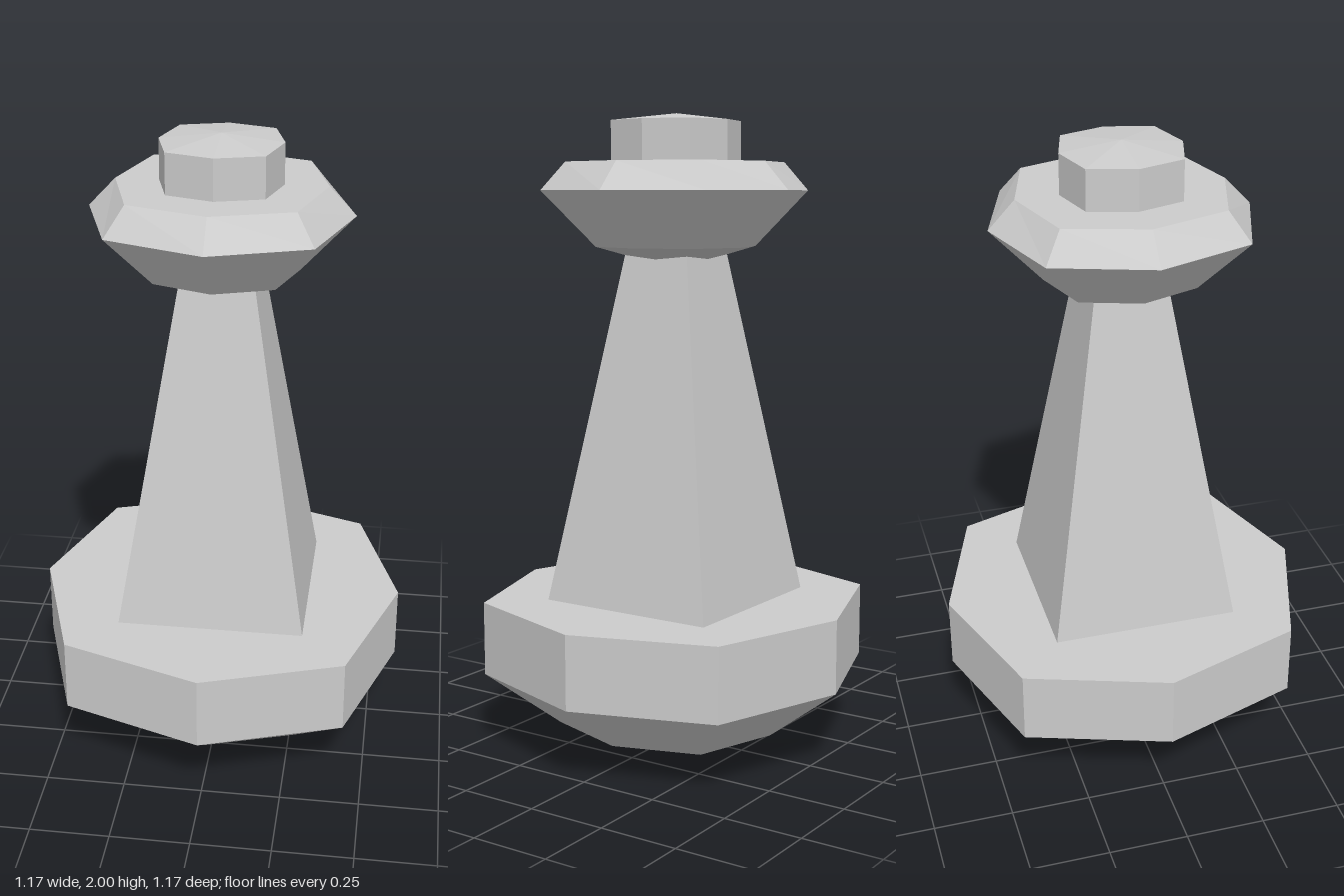
import * as THREE from 'three';

const material = new THREE.MeshStandardMaterial({ color: 0xcccccc, flatShading: true });

// Eight-sided solid from rings [reach along x/z axes, reach of corner in x and z, y], bottom to top
function octagonSolid(name, rings) {
  const geometry = new THREE.LatheGeometry(rings.map(([r, , y]) => new THREE.Vector2(r, y)), 8);
  const pos = geometry.attributes.position;
  for (let i = 0; i < pos.count; i++) {
    const [, corner] = rings[i % rings.length];
    const isDiagonal = Math.floor(i / rings.length) % 2 === 1;
    if (isDiagonal) {
      pos.setX(i, Math.sign(pos.getX(i)) * corner);
      pos.setZ(i, Math.sign(pos.getZ(i)) * corner);
    }
  }
  geometry.computeVertexNormals();
  const mesh = new THREE.Mesh(geometry, material);
  mesh.name = name;
  return mesh;
}

export function createModel() {
  const model = new THREE.Group();
  model.name = 'pedestal';

  // Heavy base: pointed underside, upright rim, flat top
  model.add(octagonSolid('base', [
    [0, 0, 0], [0.355, 0.268, 0.07], [0.585, 0.438, 0.245], [0.585, 0.438, 0.478], [0, 0, 0.478],
  ]));

  // Square tapering shaft, its ends sunk into base and collar
  const bottom = 0.45, top = 1.59;
  const shaftGeometry = new THREE.CylinderGeometry(0.111 * Math.SQRT2, 0.298 * Math.SQRT2, top - bottom, 4);
  shaftGeometry.rotateY(Math.PI / 4);
  const shaft = new THREE.Mesh(shaftGeometry, material);
  shaft.name = 'shaft';
  shaft.position.y = (bottom + top) / 2;
  model.add(shaft);

  // Flared collar with bevelled upper edge
  model.add(octagonSolid('collar', [
    [0, 0, 1.52], [0.24, 0.18, 1.592], [0.4, 0.3, 1.765], [0.318, 0.245, 1.852], [0, 0, 1.852],
  ]));

  // Knob with a shallow pointed cap
  model.add(octagonSolid('knob', [
    [0, 0, 1.84], [0.186, 0.145, 1.84], [0.186, 0.145, 1.978], [0, 0, 2],
  ]));

  return model;
}
